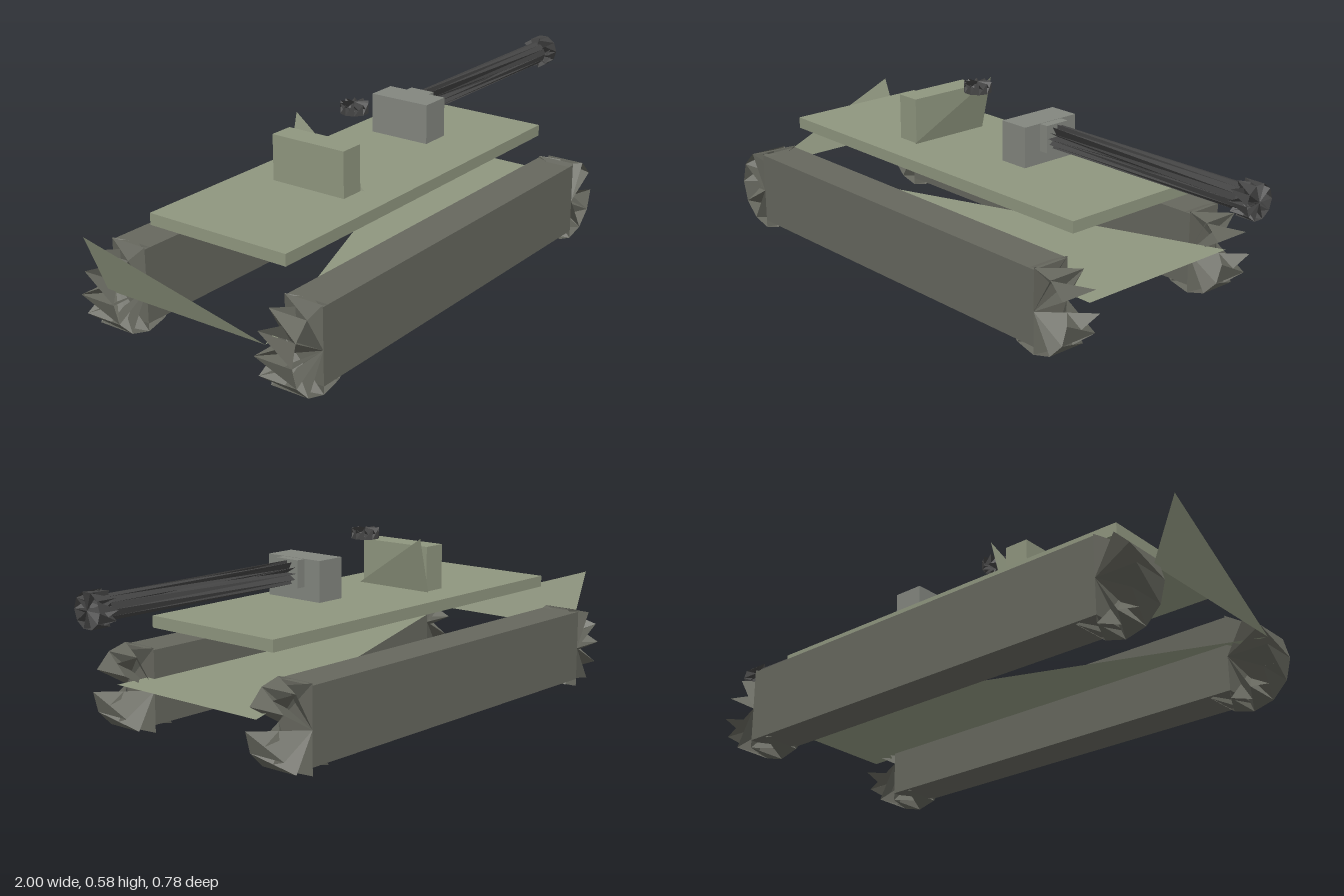
import * as THREE from 'three';

const paint = (color) => new THREE.MeshStandardMaterial({ color, flatShading: true, side: THREE.DoubleSide });
const olive = paint(0x8f967f);
const trackGrey = paint(0x66675e);
const mantletGrey = paint(0x83867f);
const gunGrey = paint(0x444444);

export function createModel() {
  const model = new THREE.Group();

  const add = (name, geometry, material) => {
    const mesh = new THREE.Mesh(geometry, material);
    mesh.name = name;
    model.add(mesh);
    return mesh;
  };

  // Box given by its lowest and highest corners
  const box = (name, a, b, material) =>
    add(name, new THREE.BoxGeometry(b[0] - a[0], b[1] - a[1], b[2] - a[2]), material)
      .position.set((a[0] + b[0]) / 2, (a[1] + b[1]) / 2, (a[2] + b[2]) / 2);

  const facets = (points) => {
    const g = new THREE.BufferGeometry();
    g.setAttribute('position', new THREE.Float32BufferAttribute(points.flat(), 3));
    g.computeVertexNormals();
    return g;
  };

  // Jagged drum along z: half-open sides and end sectors slanting through the drum
  const drum = (radius, length, sides, skipped = []) => {
    const h = length / 2;
    const rim = (i, z) => {
      const t = (i / sides) * Math.PI * 2;
      return [radius * Math.cos(t), radius * Math.sin(t), z];
    };
    const points = [];
    for (let i = 0; i < sides; i++) {
      if (skipped.includes(i)) continue;
      points.push(rim(i, h), rim(i, -h), rim(i + 1, h));
      points.push([0, 0, h], rim(i, h), rim(i + 1, -h));
      points.push([0, 0, -h], rim(i, -h), rim(i + 1, h));
    }
    return facets(points);
  };

  // Tracks with a jagged wheel at each end
  for (const [side, s] of [['left', 1], ['right', -1]]) {
    const z = s * 0.325;
    box(side + 'Track', [-0.8, 0.025, z - 0.065], [0.54, 0.26, z + 0.065], trackGrey);
    add(side + 'RearWheel', drum(0.133, 0.13, 12), trackGrey).position.set(-0.8, 0.133, z);
    add(side + 'FrontWheel', drum(0.133, 0.13, 12, [0]), trackGrey).position.set(0.54, 0.133, z);
  }

  // Hull: deck slab, three-cornered floor and rear sheets
  box('deck', [-0.78, 0.333, -0.25], [0.55, 0.37, 0.25], olive);
  add('hullFloor', facets([[-0.92, 0.17, 0.29], [0.66, 0.17, 0.29], [0.66, 0.17, -0.29]]), olive);
  add('hullRear', facets([[-0.92, 0.17, 0.29], [-0.92, 0.17, -0.29], [-1, 0.36, -0.29]]), olive);

  // Turret remains
  box('turretBlock', [-0.37, 0.37, -0.133], [-0.29, 0.517, 0.133], olive);
  add('turretRear', facets([[-0.285, 0.37, 0.145], [-0.285, 0.37, -0.145], [-0.24, 0.55, -0.145]]), olive);
  add('turretFloor', facets([[-0.285, 0.372, 0.145], [0.13, 0.372, 0.145], [0.13, 0.372, -0.145]]), olive);
  const hatch = add('hatch', drum(0.045, 0.033, 10), gunGrey);
  hatch.rotation.x = Math.PI / 2;
  hatch.position.set(-0.14, 0.567, 0);

  // Gun
  box('mantlet', [0.095, 0.402, -0.105], [0.195, 0.53, 0.105], mantletGrey);
  box('gunCollar', [0.195, 0.443, -0.043], [0.225, 0.529, 0.043], mantletGrey);
  for (const [name, radius, from, to, sides] of [['barrel', 0.038, 0.225, 0.945, 12], ['muzzle', 0.053, 0.935, 1, 10]]) {
    const part = add(name, drum(radius, to - from, sides), gunGrey);
    part.rotation.y = Math.PI / 2;
    part.position.set((from + to) / 2, 0.487, 0);
  }

  return model;
}
